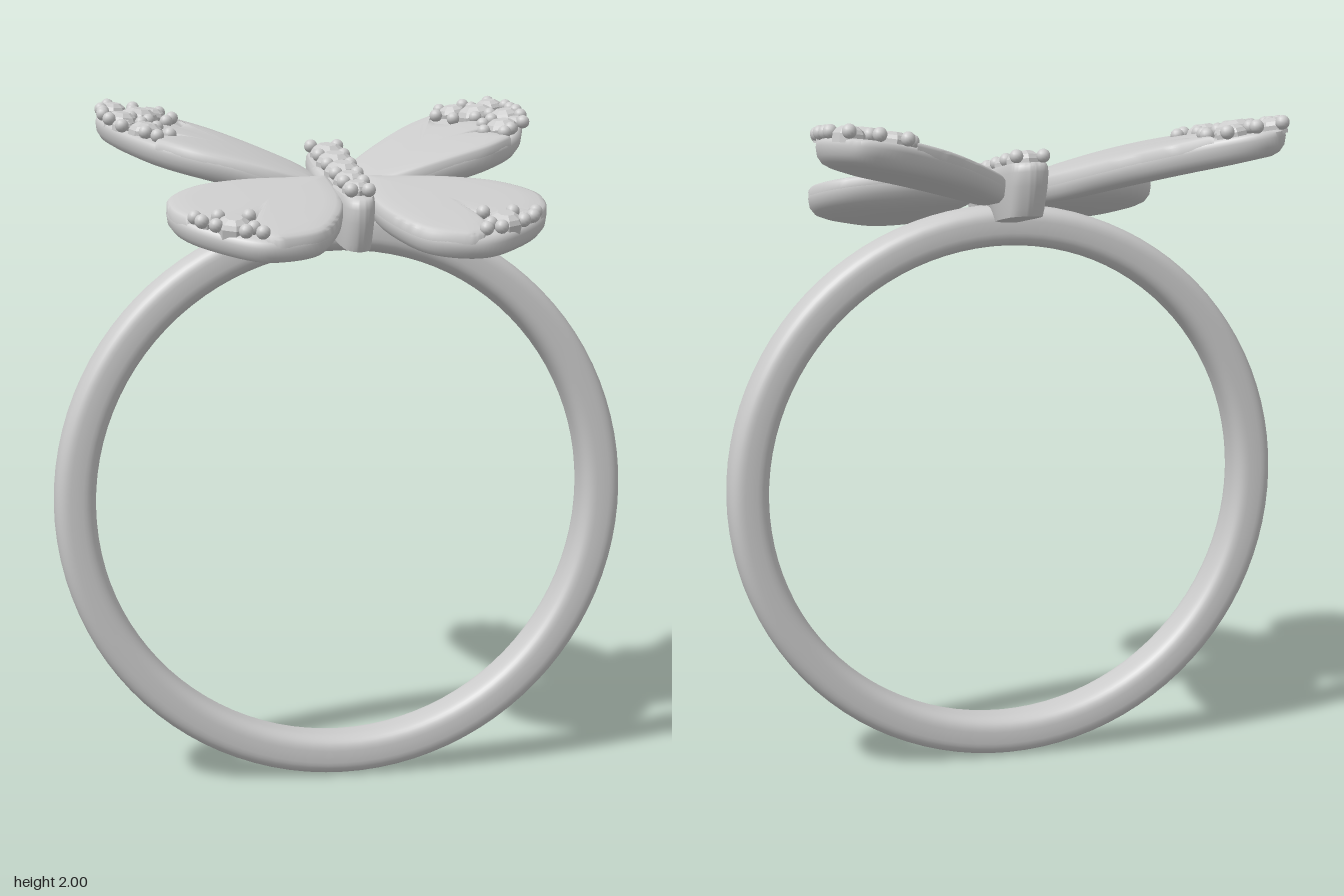
import * as THREE from 'three';
import { toCreasedNormals } from 'three/addons/utils/BufferGeometryUtils.js';

const metal = new THREE.MeshStandardMaterial({ color: 0xcccccc });
const facet = new THREE.MeshStandardMaterial({ color: 0xcccccc, flatShading: true });

// Heights of the middle of the wings and of the top of the body, over x and z
const upperY = (x, z) => 1.725 + 0.36 * Math.abs(x) - 0.2 * x * x - 0.1 * z;
const lowerY = (x, z) => 1.8 - 0.29 * z;
const bodyY = (x, z) => 1.8 - 0.17 * (z - 0.1);

// Closed outline from smooth pieces; pieces meet at cusps
function outline(...pieces) {
  return pieces.flatMap(p =>
    new THREE.SplineCurve(p.map(([x, z]) => new THREE.Vector2(x, z))).getPoints(p.length * 6).slice(0, -1));
}

// Rounded plate: rings [inset, scale, dy] of the outline from top to bottom, laid on a height rule
function slab(name, pts, [cx, cz], rings, heightAt, side = 1) {
  const pos = [], index = [], n = pts.length;
  for (const [inset, s, dy] of rings) {
    for (const p of pts) {
      const dx = p.x - cx, dz = p.y - cz;
      const k = (1 - inset / Math.hypot(dx, dz)) * s;
      const x = cx + dx * k, z = cz + dz * k;
      pos.push(x * side, heightAt(x, z) + dy, z);
    }
  }
  for (let r = 0; r < rings.length - 1; r++) {
    for (let i = 0; i < n; i++) {
      const a = r * n + i, b = r * n + (i + 1) % n, c = a + n, d = b + n;
      if (side > 0) index.push(a, d, c, a, b, d);
      else index.push(a, c, d, a, d, b);
    }
  }
  const g = new THREE.BufferGeometry();
  g.setAttribute('position', new THREE.Float32BufferAttribute(pos, 3));
  g.setIndex(index);
  const mesh = new THREE.Mesh(toCreasedNormals(g, 0.9), metal);
  mesh.name = name;
  return mesh;
}

const wingRings = [[0, 0, 0.03], [0, 0.4, 0.03], [0, 0.75, 0.03], [0.015, 1, 0.03], [0.004, 1, 0.024],
  [0, 1, 0.01], [0.004, 1, -0.015], [0.018, 1, -0.033], [0.04, 1, -0.042],
  [0, 0.7, -0.05], [0, 0.35, -0.05], [0, 0, -0.05]];
const coverRings = [[0, 0, 0.05], [0, 0.4, 0.05], [0, 0.75, 0.048], [0.02, 1, 0.045],
  [0.006, 1, 0.041], [0, 1, 0.034], [0, 1, 0.012]];
const bodyRings = [[0, 0, 0], [0, 0.5, 0], [0.015, 1, -0.002], [0.004, 1, -0.012], [0, 1, -0.03],
  [0.005, 1, -0.07], [0.025, 1, -0.135], [0.035, 1, -0.155], [0, 0.3, -0.16], [0, 0, -0.16]];

const upperWing = outline([[0.05, 0.13], [0.045, 0], [0.065, -0.15], [0.14, -0.27], [0.3, -0.457],
  [0.46, -0.575], [0.57, -0.603], [0.63, -0.55], [0.66, -0.43], [0.63, -0.23], [0.55, -0.02],
  [0.42, 0.1], [0.21, 0.15], [0.05, 0.13]]);
const upperCover = outline(
  [[0.05, 0.13], [0.045, 0], [0.065, -0.15], [0.14, -0.27], [0.3, -0.457], [0.42, -0.548]],
  [[0.42, -0.548], [0.4, -0.49], [0.4, -0.4], [0.435, -0.335]],
  [[0.435, -0.335], [0.5, -0.325], [0.535, -0.25], [0.51, -0.175], [0.44, -0.137]],
  [[0.44, -0.137], [0.49, -0.12], [0.515, -0.06], [0.53, 0.01]],
  [[0.53, 0.01], [0.42, 0.1], [0.21, 0.15], [0.05, 0.13]]);
const lowerWing = outline([[0.05, 0.14], [0.16, 0.145], [0.3, 0.155], [0.44, 0.2], [0.53, 0.29],
  [0.535, 0.38], [0.475, 0.48], [0.35, 0.58], [0.25, 0.595], [0.14, 0.55], [0.07, 0.43],
  [0.04, 0.3], [0.05, 0.14]]);
const lowerCover = outline(
  [[0.05, 0.14], [0.16, 0.145], [0.3, 0.155], [0.44, 0.2], [0.53, 0.29], [0.535, 0.38], [0.5, 0.445]],
  [[0.5, 0.445], [0.43, 0.46], [0.36, 0.455], [0.3, 0.435]],
  [[0.3, 0.435], [0.323, 0.5], [0.325, 0.55], [0.3, 0.588]],
  [[0.3, 0.588], [0.25, 0.595], [0.14, 0.55], [0.07, 0.43], [0.04, 0.3], [0.05, 0.14]]);
const bodyOutline = outline([[0, -0.22], [0.045, -0.2], [0.06, -0.15], [0.07, 0], [0.066, 0.15],
  [0.052, 0.3], [0.037, 0.375], [0, 0.4], [-0.037, 0.375], [-0.052, 0.3], [-0.066, 0.15],
  [-0.07, 0], [-0.06, -0.15], [-0.045, -0.2], [0, -0.22]]);

// Stones [x, z, radius] and beads [x, z]
const upperStones = [[0.6, -0.525, 0.045], [0.48, -0.525, 0.045], [0.53, -0.415, 0.06],
  [0.595, -0.31, 0.05], [0.54, -0.14, 0.052], [0.6, -0.21, 0.032]];
const upperBeads = [[0.42, -0.49], [0.45, -0.57], [0.54, -0.51], [0.53, -0.585], [0.61, -0.575], [0.64, -0.47],
  [0.64, -0.41], [0.45, -0.385], [0.51, -0.34], [0.56, -0.355], [0.645, -0.36], [0.635, -0.27],
  [0.54, -0.26], [0.61, -0.15], [0.5, -0.21], [0.475, -0.1], [0.55, -0.07], [0.52, -0.03]];
const lowerStones = [[0.38, 0.507, 0.05], [0.45, 0.475, 0.025]];
const lowerBeads = [[0.48, 0.46], [0.33, 0.457], [0.33, 0.54], [0.31, 0.575], [0.43, 0.52],
  [0.415, 0.455], [0.355, 0.565], [0.465, 0.49]];

const stoneShape = new THREE.LatheGeometry(
  [[1, -0.5], [1, 0.05], [0.85, 0.3], [0.5, 0.52], [0, 0.52]].map(([r, y]) => new THREE.Vector2(r, y)), 8);
const beadShape = new THREE.SphereGeometry(0.02, 14, 10);

// Sets stones and beads on a surface, tilted to its slope
function addSetting(group, stones, beads, heightAt, lift, side) {
  const up = new THREE.Vector3(0, 1, 0), e = 0.01;
  const put = (name, geometry, material, x, z, dy, scale) => {
    const normal = new THREE.Vector3(heightAt(x - e, z) - heightAt(x + e, z), 2 * e,
      heightAt(x, z - e) - heightAt(x, z + e)).normalize();
    normal.x *= side;
    const m = new THREE.Mesh(geometry, material);
    m.name = name;
    m.position.set(x * side, heightAt(x, z) + dy, z);
    m.quaternion.setFromUnitVectors(up, normal);
    m.scale.setScalar(scale);
    group.add(m);
  };
  for (const [x, z, r] of stones) put('stone', stoneShape, facet, x, z, lift + 0.01, r);
  for (const [x, z] of beads) put('bead', beadShape, metal, x, z, lift + 0.018, 1);
}

export function createModel() {
  const model = new THREE.Group();
  model.name = 'butterflyRing';

  // Finger band with a softly squared section
  const section = [];
  const soft = v => Math.sign(v) * Math.pow(Math.abs(v), 0.65);
  for (let i = 0; i <= 40; i++) {
    const a = (i / 40) * Math.PI * 2;
    section.push(new THREE.Vector2(0.79 + 0.06 * soft(Math.cos(a)), 0.073 * soft(Math.sin(a))));
  }
  const band = new THREE.Mesh(new THREE.LatheGeometry(section, 96).rotateX(Math.PI / 2), metal);
  band.name = 'band';
  band.position.set(0, 0.85, 0.09);
  model.add(band);

  // Two mirrored pairs of wings with scalloped covers and set tips
  for (const side of [1, -1]) {
    const word = side > 0 ? 'left' : 'right';
    const upper = new THREE.Group(), lower = new THREE.Group();
    upper.name = word + 'UpperWing';
    lower.name = word + 'LowerWing';
    upper.add(slab('wingPlate', upperWing, [0.33, -0.2], wingRings, upperY, side),
      slab('wingCover', upperCover, [0.28, -0.1], coverRings, upperY, side));
    addSetting(upper, upperStones, upperBeads, upperY, 0.03, side);
    lower.add(slab('wingPlate', lowerWing, [0.27, 0.36], wingRings, lowerY, side),
      slab('wingCover', lowerCover, [0.25, 0.33], coverRings, lowerY, side));
    addSetting(lower, lowerStones, lowerBeads, lowerY, 0.03, side);
    model.add(upper, lower);
  }

  // Body with a row of stones and paired beads
  const body = new THREE.Group();
  body.name = 'body';
  body.add(slab('bodyCore', bodyOutline, [0, 0.08], bodyRings, bodyY));
  const stones = [[0, -0.12, 0.053], [0, -0.005, 0.056], [0, 0.11, 0.055], [0, 0.215, 0.048], [0, 0.31, 0.042]];
  const beads = [-0.18, -0.062, 0.053, 0.165, 0.265, 0.36].flatMap((z, i) => {
    const x = 0.04 - 0.003 * i;
    return [[x, z], [-x, z]];
  });
  addSetting(body, stones, beads, bodyY, 0, 1);
  model.add(body);
  return model;
}
